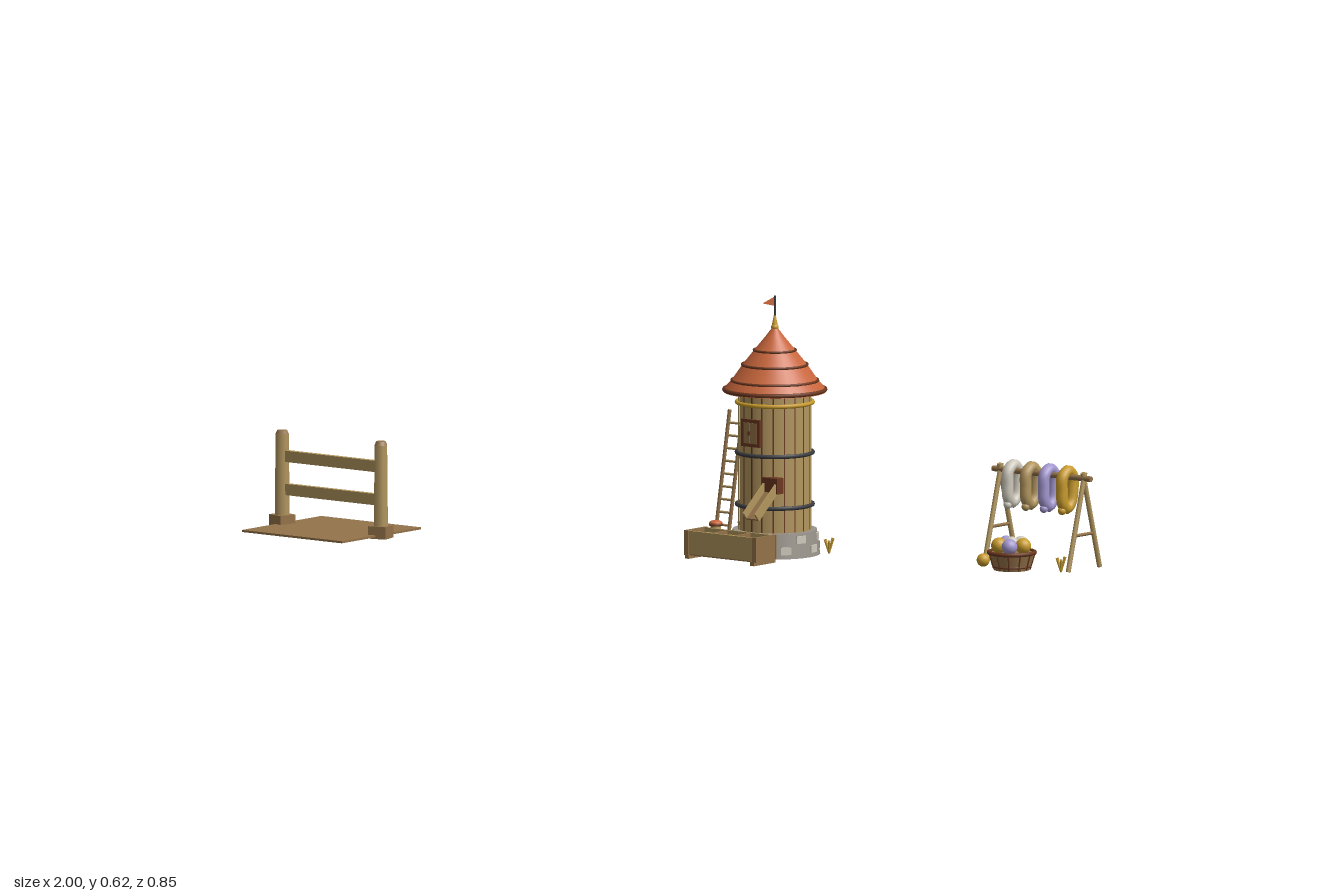
import * as THREE from 'three';

const mat = (name, color, side = THREE.FrontSide) => {
  const m = new THREE.MeshStandardMaterial({ color, side });
  m.name = name;
  return m;
};

export function createModel() {
  const root = new THREE.Group();
  root.name = 'farmstead';
  const wood = mat('pale wood', 0xb2965f);
  const brown = mat('brown wood', 0x94734a);
  const dark = mat('dark red wood', 0x6b3820);
  const tile = mat('terracotta', 0xc8663c, THREE.DoubleSide);
  const iron = mat('iron', 0x3b3c40);
  const gold = mat('gold', 0xc99c2c);
  const stone = mat('stone', 0x99948b);
  const cream = mat('cream', 0xcfcabd);
  const lavender = mat('lavender', 0xa498d0);

  const group = (name, x = 0, y = 0, z = 0, parent = root) => {
    const g = new THREE.Group();
    g.name = name;
    g.position.set(x, y, z);
    parent.add(g);
    return g;
  };
  const add = (parent, name, geo, material, x = 0, y = 0, z = 0) => {
    const m = new THREE.Mesh(geo, material);
    m.name = name;
    m.position.set(x, y, z);
    parent.add(m);
    return m;
  };
  const box = (p, name, m, w, h, d, x, y, z) => add(p, name, new THREE.BoxGeometry(w, h, d), m, x, y, z);
  const cyl = (p, name, m, r1, r2, h, x, y, z, n = 16) => add(p, name, new THREE.CylinderGeometry(r1, r2, h, n), m, x, y, z);
  const ball = (p, name, m, r, x, y, z) => add(p, name, new THREE.SphereGeometry(r, 16, 12), m, x, y, z);
  const ring = (p, name, m, r, tube, y) => {
    const t = add(p, name, new THREE.TorusGeometry(r, tube, 8, 40), m, 0, y, 0);
    t.rotation.x = Math.PI / 2;
    return t;
  };
  // Round pole between two points
  const pole = (p, name, m, a, b, r, n = 8) => {
    const A = new THREE.Vector3(...a), B = new THREE.Vector3(...b), d = B.clone().sub(A);
    const c = cyl(p, name, m, r, r, d.length(), 0, 0, 0, n);
    c.position.copy(A).add(B).multiplyScalar(0.5);
    c.quaternion.setFromUnitVectors(new THREE.Vector3(0, 1, 0), d.normalize());
    return c;
  };
  // Tuft of straw blades
  const tuft = (x, z) => {
    const g = group('strawTuft', x, 0.004, z);
    for (let i = 0; i < 7; i++) {
      const a = i * 2.4, s = i ? 0.011 : 0;
      pole(g, 'blade', gold, [0, 0, 0], [Math.cos(a) * s, 0.03 + (i % 3) * 0.003, Math.sin(a) * s], 0.0022, 5);
    }
  };

  // Fence on its ground plate
  const fence = group('fence', -0.822, 0, 0.273);
  box(fence, 'groundPlate', brown, 0.306, 0.005, 0.303, 0, 0.0075, 0);
  [-1, 1].forEach((s) => {
    const post = group('post', s * 0.151, 0, 0, fence);
    post.rotation.y = s * 0.25;
    box(post, 'foot', brown, 0.046, 0.03, 0.046, 0, 0.016, 0);
    cyl(post, 'shaft', wood, 0.016, 0.018, 0.195, 0, 0.128, 0, 8);
    cyl(post, 'cap', brown, 0.012, 0.016, 0.009, 0, 0.23, 0, 8);
  });
  [0.173, 0.093].forEach((y) => box(fence, 'rail', wood, 0.3, 0.027, 0.014, 0, y, 0));

  // Tower: stone foot, staves and hoops
  const tower = group('tower', 0.22, 0, -0.12);
  cyl(tower, 'stoneFoot', stone, 0.101, 0.109, 0.06, 0, 0.03, 0, 32);
  for (let row = 0; row < 2; row++) for (let i = 0; i < 8; i++) {
    const a = (i + row * 0.5) * Math.PI / 4 + 0.15, r = 0.1045 - row * 0.0035;
    const b = box(tower, 'footStone', i % 3 ? cream : stone, 0.026, 0.018, 0.008, Math.sin(a) * r, 0.019 + row * 0.025, Math.cos(a) * r);
    b.rotation.y = a;
  }
  cyl(tower, 'core', dark, 0.085, 0.085, 0.33, 0, 0.225, 0, 32);
  const staves = 20, step = Math.PI * 2 / staves;
  for (let i = 0; i < staves; i++) {
    add(tower, 'stave', new THREE.CylinderGeometry(0.088, 0.088, 0.33, 3, 1, true, i * step + 0.02, step - 0.04), wood, 0, 0.225, 0);
  }
  [0.12, 0.245].forEach((y) => ring(tower, 'hoop', iron, 0.091, 0.005, y));
  ring(tower, 'goldHoop', gold, 0.091, 0.005, 0.366);

  // Roof with ridge rings, finial and flag
  const profile = [[0.122, 0.39], [0.12, 0.4], [0.102, 0.42], [0.077, 0.456], [0.049, 0.491], [0.022, 0.524], [0.004, 0.548]];
  add(tower, 'roof', new THREE.LatheGeometry(profile.map((p) => new THREE.Vector2(...p)), 32), tile);
  cyl(tower, 'roofUnderside', dark, 0.12, 0.12, 0.004, 0, 0.392, 0, 32);
  [[0.121, 0.396, 0.005], [0.103, 0.418, 0.0035], [0.078, 0.456, 0.0033], [0.05, 0.491, 0.003]].forEach(([r, y, t]) => ring(tower, 'roofRing', dark, r, t, y));
  ball(tower, 'finialBall', gold, 0.009, 0, 0.546, 0);
  cyl(tower, 'finialSpike', gold, 0.002, 0.007, 0.024, 0, 0.564, 0);
  cyl(tower, 'flagPole', iron, 0.0025, 0.0025, 0.055, 0, 0.594, 0, 8);
  const flag = new THREE.Shape([[0, 0.597], [0, 0.62], [-0.047, 0.608]].map((p) => new THREE.Vector2(...p)));
  add(tower, 'flag', new THREE.ShapeGeometry(flag), tile).rotation.y = Math.PI / 2;

  // Shuttered window
  const win = group('window', 0, 0.3, 0.09, tower);
  box(win, 'frame', dark, 0.056, 0.066, 0.008, 0, 0, 0);
  [-1, 1].forEach((s) => box(win, 'shutter', brown, 0.018, 0.05, 0.004, s * 0.01, 0, 0.004));
  box(win, 'knob', dark, 0.006, 0.01, 0.006, 0, 0, 0.007);

  // Grain chute
  box(tower, 'hatch', dark, 0.046, 0.038, 0.024, 0.055, 0.177, 0.077);
  const chute = group('chute', 0.055, 0.143, 0.12, tower);
  chute.rotation.x = 0.69;
  box(chute, 'floor', brown, 0.036, 0.005, 0.105, 0, -0.008, 0);
  [-1, 1].forEach((s) => box(chute, 'side', wood, 0.005, 0.022, 0.105, s * 0.018, 0, 0));

  // Leaning ladder
  const ladder = group('ladder');
  const low = (x) => [0.085 + x, 0.004, -0.055], high = (x) => [0.106 + x, 0.34, -0.09];
  [0, 0.04].forEach((x) => pole(ladder, 'rail', brown, low(x), high(x), 0.0045));
  for (let i = 1; i < 11; i++) {
    const ends = [0, 0.04].map((x) => low(x).map((v, k) => v + (high(x)[k] - v) * i / 11));
    pole(ladder, 'rung', wood, ends[0], ends[1], 0.003);
  }

  // Sack and lidded jar beside the foot
  const sack = group('sack', 0.092, 0, -0.157);
  ball(sack, 'body', brown, 0.025, 0, 0.026, 0);
  cyl(sack, 'neck', wood, 0.013, 0.008, 0.014, 0, 0.054, 0);
  const jar = group('jar', 0.118, 0, -0.022);
  ball(jar, 'body', brown, 0.026, 0, 0.031, 0);
  cyl(jar, 'neck', wood, 0.012, 0.014, 0.018, 0, 0.06, 0);
  const lid = ball(jar, 'lid', tile, 0.016, 0, 0.075, 0);
  lid.scale.y = 0.45;
  ring(jar, 'lidRim', dark, 0.014, 0.003, 0.071);

  // Produce crate with three compartments
  const crate = group('crate', 0.222, 0, 0.053);
  box(crate, 'base', brown, 0.212, 0.006, 0.07, 0, 0.013, 0);
  [-1, 1].forEach((s) => {
    box(crate, 'longSide', wood, 0.216, 0.056, 0.006, 0, 0.041, s * 0.033);
    box(crate, 'endSide', brown, 0.006, 0.06, 0.072, s * 0.106, 0.04, 0);
    box(crate, 'skid', brown, 0.012, 0.01, 0.082, s * 0.1, 0.007, 0);
    box(crate, 'divider', brown, 0.006, 0.056, 0.062, s * 0.035, 0.04, 0);
    [-1, 1].forEach((t) => box(crate, 'corner', brown, 0.012, 0.06, 0.004, s * 0.104, 0.04, t * 0.037));
  });
  [wood, gold, tile].forEach((m, i) => {
    box(crate, 'filling', brown, 0.064, 0.02, 0.06, (i - 1) * 0.07, 0.03, 0);
    const heap = ball(crate, 'heap', m, 0.029, (i - 1) * 0.07, 0.045, 0);
    heap.scale.y = 0.65;
  });

  // Drying rack
  const rack = group('dryingRack', 0.85, 0, -0.355);
  pole(rack, 'bar', brown, [-0.15, 0.222, 0], [0.15, 0.222, 0], 0.007, 10);
  [-0.128, 0.128].forEach((x) => {
    [-1, 1].forEach((s) => pole(rack, 'leg', wood, [x, 0.003, s * 0.06], [x, 0.236, s * -0.004], 0.006));
    pole(rack, 'brace', brown, [x, 0.087, -0.04], [x, 0.087, 0.04], 0.004);
  });
  // Hanging yarn skeins
  [cream, wood, lavender, gold].forEach((m, i) => {
    const pts = [[0.236, 0], [0.222, 0.02], [0.19, 0.022], [0.158, 0.019], [0.146, 0.004], [0.16, -0.012], [0.19, -0.019], [0.222, -0.019]];
    const path = new THREE.CatmullRomCurve3(pts.map(([y, z]) => new THREE.Vector3(0, y, z)), true);
    const x = -0.088 + i * 0.0555;
    add(rack, 'skein', new THREE.TubeGeometry(path, 40, 0.014, 10, true), m, x, 0, 0);
    ball(rack, 'skeinTail', m, 0.01, x, 0.142, 0.022);
  });

  // Yarn basket
  const basket = group('basket', 0.847, 0, -0.243);
  cyl(basket, 'bowl', brown, 0.056, 0.043, 0.042, 0, 0.024, 0, 24);
  ring(basket, 'rim', dark, 0.055, 0.005, 0.045);
  ring(basket, 'lowerBand', dark, 0.045, 0.0025, 0.012);
  for (let i = 0; i < 12; i++) {
    const a = i * Math.PI / 6;
    pole(basket, 'rib', dark, [Math.sin(a) * 0.044, 0.005, Math.cos(a) * 0.044], [Math.sin(a) * 0.056, 0.044, Math.cos(a) * 0.056], 0.002, 5);
  }
  [lavender, gold, cream, lavender, gold].forEach((m, i) => {
    const a = i * Math.PI * 0.4 + 0.5;
    ball(basket, 'yarnBall', m, 0.019, Math.sin(a) * 0.031, 0.062, Math.cos(a) * 0.031);
  });
  ball(basket, 'topYarnBall', cream, 0.017, 0, 0.066, 0);
  ball(root, 'looseYarnBall', gold, 0.016, 0.762, 0.019, -0.24);

  tuft(0.338, -0.18);
  tuft(0.968, -0.28);
  return root;
}
